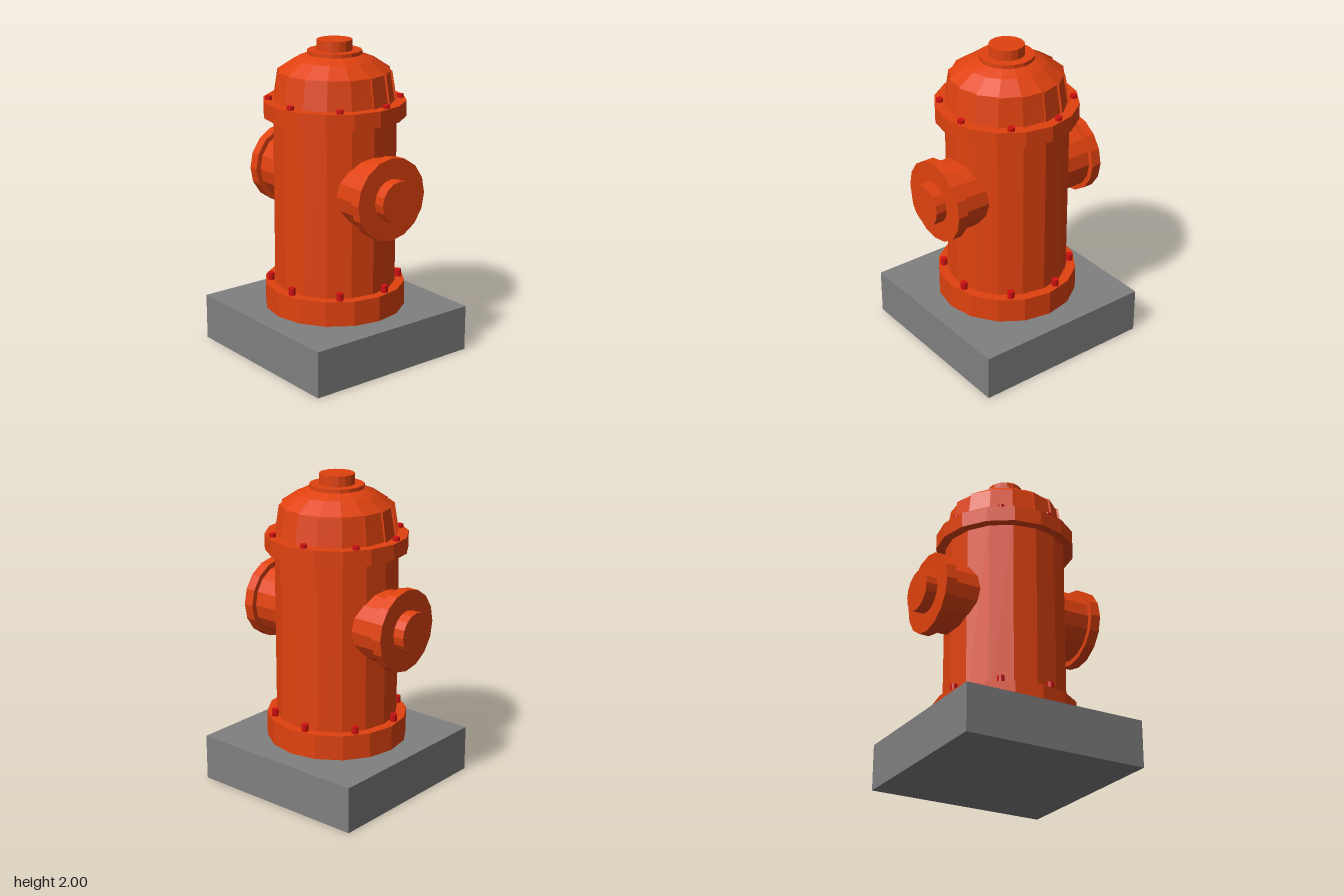
import * as THREE from 'three';

const SIDES = 16;
const paint = (color) => new THREE.MeshStandardMaterial({ color, flatShading: true });

// Domed bonnet: flat panels, each stepping in slightly at the seam to the next
function bonnetGeometry() {
  // radius, height, depth of the seam step
  const profile = [[0.385, 1.62, 0.014], [0.355, 1.81, 0.014], [0.25, 1.88, 0.01], [0.17, 1.912, 0]];
  const positions = [], index = [], n = SIDES * 2;
  for (const [r, y, step] of profile) {
    for (let i = 0; i < n; i++) {
      const a = (Math.floor(i / 2) / SIDES) * Math.PI * 2;
      const rr = i % 2 ? r : r - step;
      positions.push(Math.sin(a) * rr, y, Math.cos(a) * rr);
    }
  }
  for (let j = 0; j < profile.length - 1; j++) {
    for (let i = 0; i < n; i++) {
      const a = j * n + i, b = j * n + (i + 1) % n;
      index.push(a, b, b + n, a, b + n, a + n);
    }
  }
  const g = new THREE.BufferGeometry();
  g.setAttribute('position', new THREE.Float32BufferAttribute(positions, 3));
  g.setIndex(index);
  g.computeVertexNormals();
  return g;
}

export function createModel() {
  const model = new THREE.Group();
  model.name = 'fireHydrant';
  const orange = paint(0xe0420f), red = paint(0xd01010), grey = paint(0x808080);

  const add = (parent, name, geometry, material) => {
    const mesh = new THREE.Mesh(geometry, material);
    mesh.name = name;
    parent.add(mesh);
    return mesh;
  };
  // Upright faceted cylinder between two heights
  const drum = (parent, name, r, y0, y1, material = orange, sides = SIDES) => {
    const g = new THREE.CylinderGeometry(r, r, y1 - y0, sides);
    g.translate(0, (y0 + y1) / 2, 0);
    return add(parent, name, g, material);
  };

  // Plinth
  add(model, 'plinth', new THREE.BoxGeometry(1.19, 0.295, 1.19), grey).position.y = 0.1475;

  // Barrel and flanges
  drum(model, 'barrel', 0.385, 0.295, 1.6);
  drum(model, 'bottomFlange', 0.447, 0.295, 0.455);
  drum(model, 'topFlange', 0.445, 1.53, 1.63);

  // Bonnet, cap ring and operating nut
  add(model, 'bonnet', bonnetGeometry(), orange);
  drum(model, 'capRing', 0.17, 1.905, 1.935);
  drum(model, 'operatingNut', 0.11, 1.93, 2.0);

  // Rings of bolts on both flanges
  for (const [name, y0, y1] of [['bottomBolt', 0.44, 0.5], ['topBolt', 1.6, 1.652]]) {
    for (let i = 0; i < 8; i++) {
      const a = Math.PI / 16 + (i * Math.PI) / 4;
      const bolt = drum(model, name, 0.022, y0, y1, red, 12);
      bolt.position.set(Math.sin(a) * 0.407, 0, Math.cos(a) * 0.407);
    }
  }

  // Hose outlets, front and back
  for (const side of [1, -1]) {
    const outlet = new THREE.Group();
    outlet.name = side > 0 ? 'frontOutlet' : 'backOutlet';
    drum(outlet, 'neck', 0.225, 0.25, 0.5);
    drum(outlet, 'collar', 0.258, 0.485, 0.552);
    drum(outlet, 'capNut', 0.131, 0.54, 0.625);
    outlet.position.y = 1.108;
    outlet.rotation.x = (side * Math.PI) / 2;
    model.add(outlet);
  }
  return model;
}
